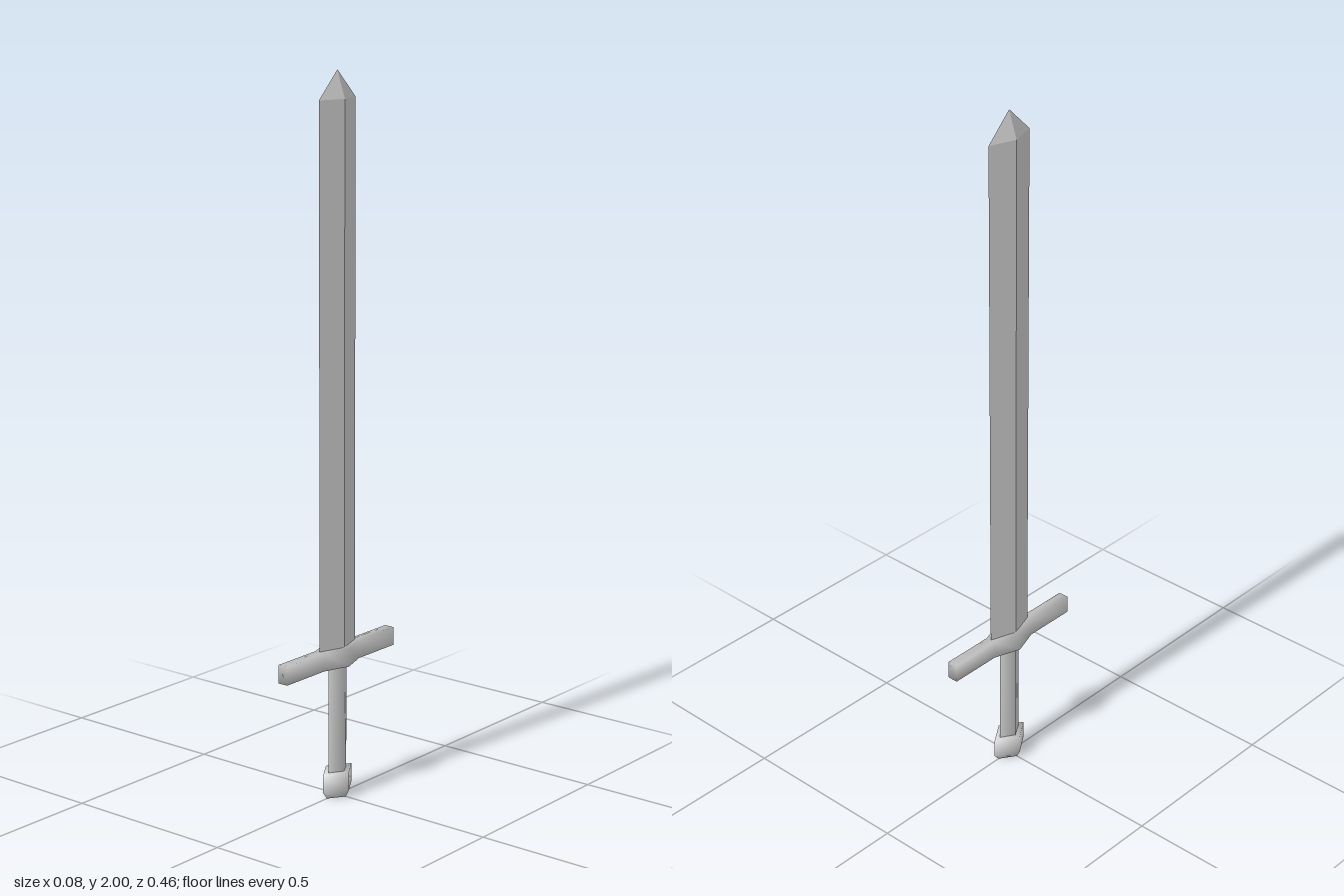
import * as THREE from 'three';

const material = new THREE.MeshStandardMaterial({ color: 0xcccccc });

// Lofts an outline of [x, z] points (counterclockwise from above) through [y, scale] layers.
// Shared vertices give smooth shading; flat splits them. A last scale of 0 makes a point.
function loft(name, outline, layers, flat = false) {
  const n = outline.length;
  const positions = [];
  const index = [];
  for (const [y, s] of layers) {
    for (const [x, z] of outline) positions.push(x * s, y, z * s);
  }
  for (let k = 0; k < layers.length - 1; k++) {
    for (let i = 0; i < n; i++) {
      const a = k * n + i;
      const b = k * n + (i + 1) % n;
      index.push(a, b, a + n);
      if (layers[k + 1][1] > 0) index.push(b, b + n, a + n);
    }
  }
  // End caps
  const caps = THREE.ShapeUtils.triangulateShape(outline.map(([x, z]) => new THREE.Vector2(x, -z)), []);
  const top = (layers.length - 1) * n;
  for (const [a, b, c] of caps) {
    index.push(a, c, b);
    if (layers[layers.length - 1][1] > 0) index.push(top + a, top + b, top + c);
  }
  let geometry = new THREE.BufferGeometry();
  geometry.setAttribute('position', new THREE.Float32BufferAttribute(positions, 3));
  geometry.setIndex(index);
  if (flat) geometry = geometry.toNonIndexed();
  geometry.computeVertexNormals();
  const mesh = new THREE.Mesh(geometry, material);
  mesh.name = name;
  return mesh;
}

const diamond = (x, z) => [[x, 0], [0, -z], [-x, 0], [0, z]];

export function createModel() {
  const sword = new THREE.Group();
  sword.name = 'sword';

  // Blade: diamond section ending in a short point
  sword.add(loft('blade', diamond(0.025, 0.076), [[0.42, 1], [1.925, 1], [2, 0]], true));

  // Crossguard: slim bar swelling to a diamond around the blade
  const half = [[0.041, 0], [0.015, -0.076], [0.015, -0.231], [-0.015, -0.231], [-0.015, -0.076]];
  const guardOutline = [...half, ...half.map(([x, z]) => [-x, -z])];
  sword.add(loft('crossguard', guardOutline, [[0.38, 1], [0.432, 1]]));

  // Grip
  sword.add(loft('grip', diamond(0.024, 0.039), [[0.06, 1], [0.39, 1]]));

  // Pommel: tapered at the bottom
  sword.add(loft('pommel', diamond(0.041, 0.062), [[0, 0.74], [0.02, 1], [0.073, 1]]));

  return sword;
}
